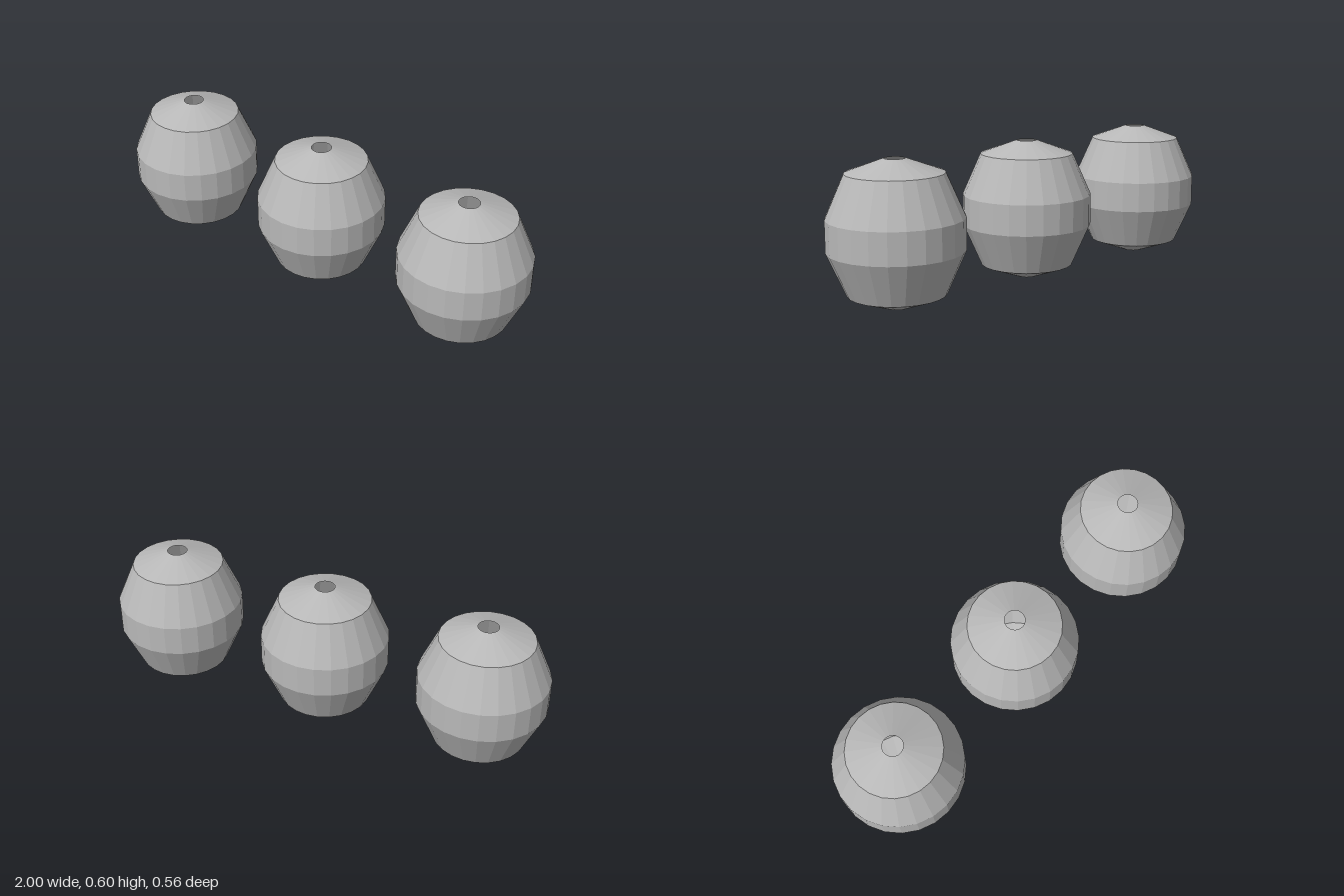
import * as THREE from 'three';

// Outer profile of one bead, bottom to top: [radius, height]
const PROFILE = [
  [0.043, 0], [0.2, 0.057], [0.2785, 0.235],
  [0.2785, 0.367], [0.2, 0.545], [0.043, 0.602],
];
const SIDES = 24;
const SPACING = 0.7215;

export function createModel() {
  const model = new THREE.Group();
  model.name = 'beads';

  const grey = new THREE.MeshStandardMaterial({
    color: 0xb8b8b8, flatShading: true, side: THREE.DoubleSide,
  });
  grey.name = 'grey';

  // Hollow faceted shell, open at the top and bottom holes
  const shell = new THREE.LatheGeometry(
    PROFILE.map(([r, y]) => new THREE.Vector2(r, y)), SIDES);

  // Three identical beads in a row
  ['rightBead', 'middleBead', 'leftBead'].forEach((name, i) => {
    const bead = new THREE.Mesh(shell, grey);
    bead.name = name;
    bead.position.x = (i - 1) * SPACING;
    model.add(bead);
  });

  return model;
}
